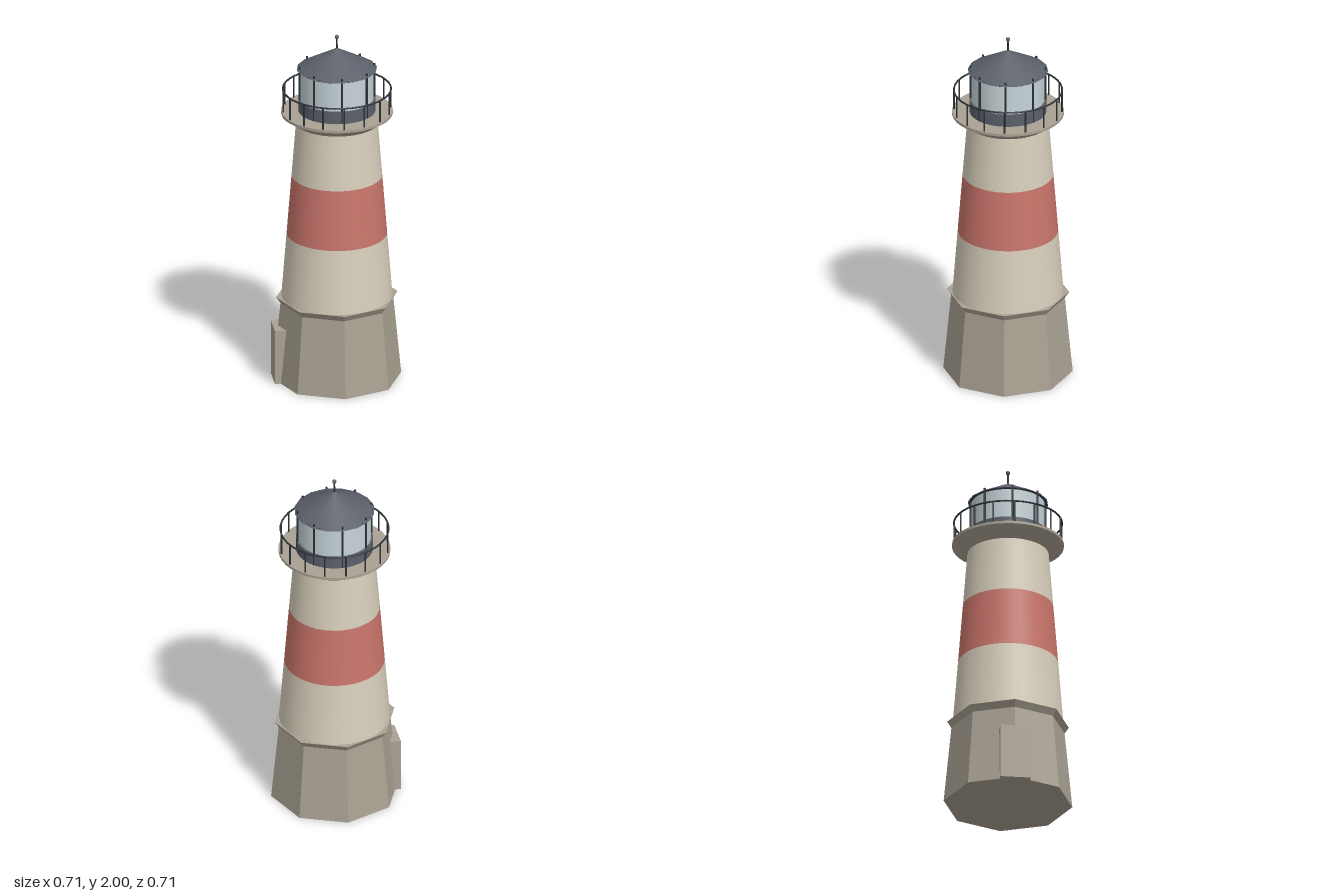
import * as THREE from 'three';

const material = (name, color, extra = {}) => {
  const m = new THREE.MeshStandardMaterial({ color, ...extra });
  m.name = name;
  return m;
};

export function createModel() {
  const cream = material('cream render', 0xd8cfbc);
  const red = material('faded red', 0xc9756b);
  const stone = material('stone', 0xaaa293);
  const slate = material('slate grey', 0x5b606a);
  const iron = material('dark iron', 0x2d3239);
  const glass = material('pale glass', 0xc6d4d8);

  const model = new THREE.Group();
  model.name = 'lighthouse';

  const add = (name, geometry, mat, x = 0, y = 0, z = 0, parent = model) => {
    const mesh = new THREE.Mesh(geometry, mat);
    mesh.name = name;
    mesh.position.set(x, y, z);
    parent.add(mesh);
    return mesh;
  };

  // Truncated cone running from height y0 to y1
  const frustum = (name, mat, r0, r1, y0, y1, sides = 40, faceted = false, open = false) => {
    let g = new THREE.CylinderGeometry(r1, r0, y1 - y0, sides, 1, open);
    if (faceted) {
      g = g.toNonIndexed();
      g.computeVertexNormals();
    }
    return add(name, g, mat, 0, (y0 + y1) / 2, 0);
  };

  // Ring of upright rods
  const rods = (name, count, ringRadius, rodRadius, y0, y1) => {
    const group = new THREE.Group();
    group.name = name;
    const g = new THREE.CylinderGeometry(rodRadius, rodRadius, y1 - y0, 8);
    for (let i = 0; i < count; i++) {
      const a = (i / count) * Math.PI * 2;
      add('rod', g, iron, Math.sin(a) * ringRadius, (y0 + y1) / 2, Math.cos(a) * ringRadius, group);
    }
    model.add(group);
  };

  // Horizontal hoop
  const hoop = (name, radius, tube, y) => {
    const g = new THREE.TorusGeometry(radius, tube, 8, 40).rotateX(Math.PI / 2);
    add(name, g, iron, 0, y, 0);
  };

  // Octagonal plinth, its flared rim and the entrance block
  frustum('plinth', stone, 0.353, 0.31, 0, 0.445, 8, true);
  frustum('plinthRim', stone, 0.31, 0.334, 0.44, 0.476, 8, true);
  add('entrance', new THREE.BoxGeometry(0.09, 0.31, 0.166), stone, -0.307, 0.155, 0);

  // Tapered tower in three bands
  const towerRadius = (y) => 0.303 + ((y - 0.47) / (1.5 - 0.47)) * (0.222 - 0.303);
  const band = (name, mat, y0, y1) =>
    frustum(name, mat, towerRadius(y0), towerRadius(y1), y0, y1, 40, false, true);
  band('lowerTower', cream, 0.47, 0.84);
  band('redBand', red, 0.84, 1.18);
  band('upperTower', cream, 1.18, 1.5);

  // Gallery with its railing
  frustum('galleryCorbel', stone, 0.23, 0.3, 1.495, 1.545);
  frustum('galleryDeck', stone, 0.305, 0.305, 1.545, 1.56);
  rods('railingPosts', 16, 0.295, 0.0045, 1.56, 1.685);
  hoop('railingTop', 0.295, 0.005, 1.685);

  // Lantern room
  frustum('lanternWall', slate, 0.21, 0.21, 1.56, 1.63);
  frustum('lanternGlass', glass, 0.2, 0.2, 1.63, 1.805);
  rods('glazingBars', 8, 0.205, 0.006, 1.56, 1.822);
  hoop('lanternHoop', 0.205, 0.006, 1.803);

  // Roof and finial
  add('roof', new THREE.ConeGeometry(0.22, 0.122, 16), slate, 0, 1.864, 0);
  frustum('finialRod', iron, 0.005, 0.004, 1.91, 1.985, 8);
  add('finialBall', new THREE.SphereGeometry(0.012, 12, 8), slate, 0, 1.988, 0);

  return model;
}
